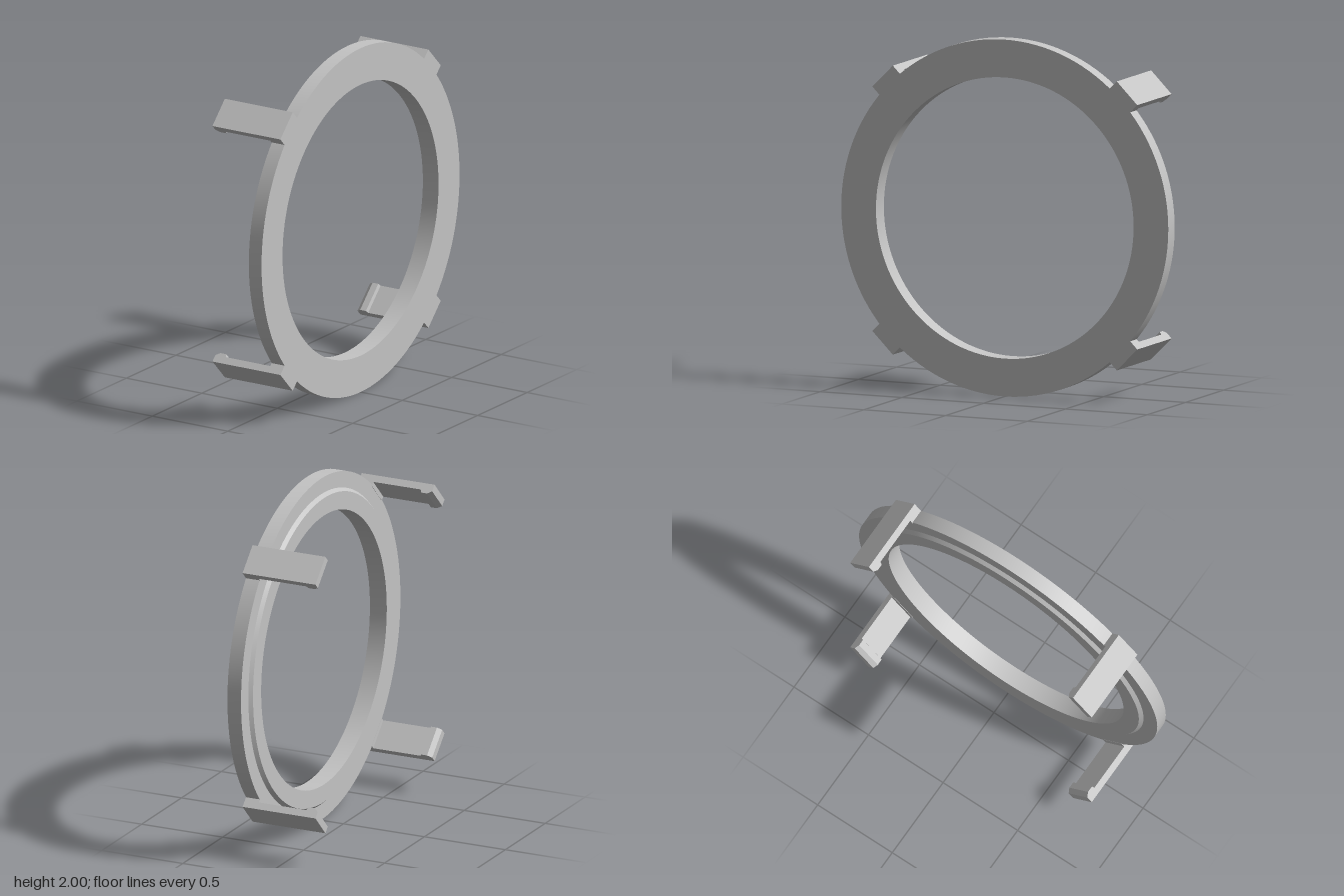
import * as THREE from 'three';
import { toCreasedNormals } from 'three/addons/utils/BufferGeometryUtils.js';

export function createModel() {
  const model = new THREE.Group();
  model.name = 'clipRing';
  const grey = new THREE.MeshStandardMaterial({ color: 0xc4c4c4 });
  grey.name = 'light grey';

  // Assembly centred on the ring axis, which runs along x
  const assembly = new THREE.Group();
  assembly.name = 'ringAssembly';
  assembly.position.y = 1;
  model.add(assembly);

  // Ring with a raised, chamfered shoulder: [radius, position along axis]
  const profile = [
    [0.788, 0.12], [0.89, 0.12], [0.908, 0.14], [1, 0.14],
    [1, 0.224], [0.788, 0.224], [0.788, 0.12],
  ].map(([r, a]) => new THREE.Vector2(r, a));
  const ringGeometry = toCreasedNormals(new THREE.LatheGeometry(profile, 128), Math.PI / 6);
  ringGeometry.rotateZ(-Math.PI / 2);
  const ring = new THREE.Mesh(ringGeometry, grey);
  ring.name = 'ring';
  assembly.add(ring);

  // Clip side outline: [position along axis, radius], with a hook at the free end
  const width = 0.177;
  const outline = [
    [-0.226, 1.057], [-0.226, 1.015], [-0.2, 0.997], [-0.162, 0.997], [-0.155, 1.015],
    [0.138, 1.015], [0.138, 0.99], [0.224, 0.99], [0.224, 1.057],
  ].map(([a, r]) => new THREE.Vector2(a, r));
  const clipGeometry = new THREE.ExtrudeGeometry(new THREE.Shape(outline), {
    depth: width, bevelEnabled: false,
  });
  clipGeometry.translate(0, 0, -width / 2);

  // Four clips on the diagonals
  for (let i = 0; i < 4; i++) {
    const clip = new THREE.Mesh(clipGeometry, grey);
    clip.name = 'clip' + (i + 1);
    clip.rotation.x = Math.PI / 4 + i * Math.PI / 2;
    assembly.add(clip);
  }
  return model;
}
